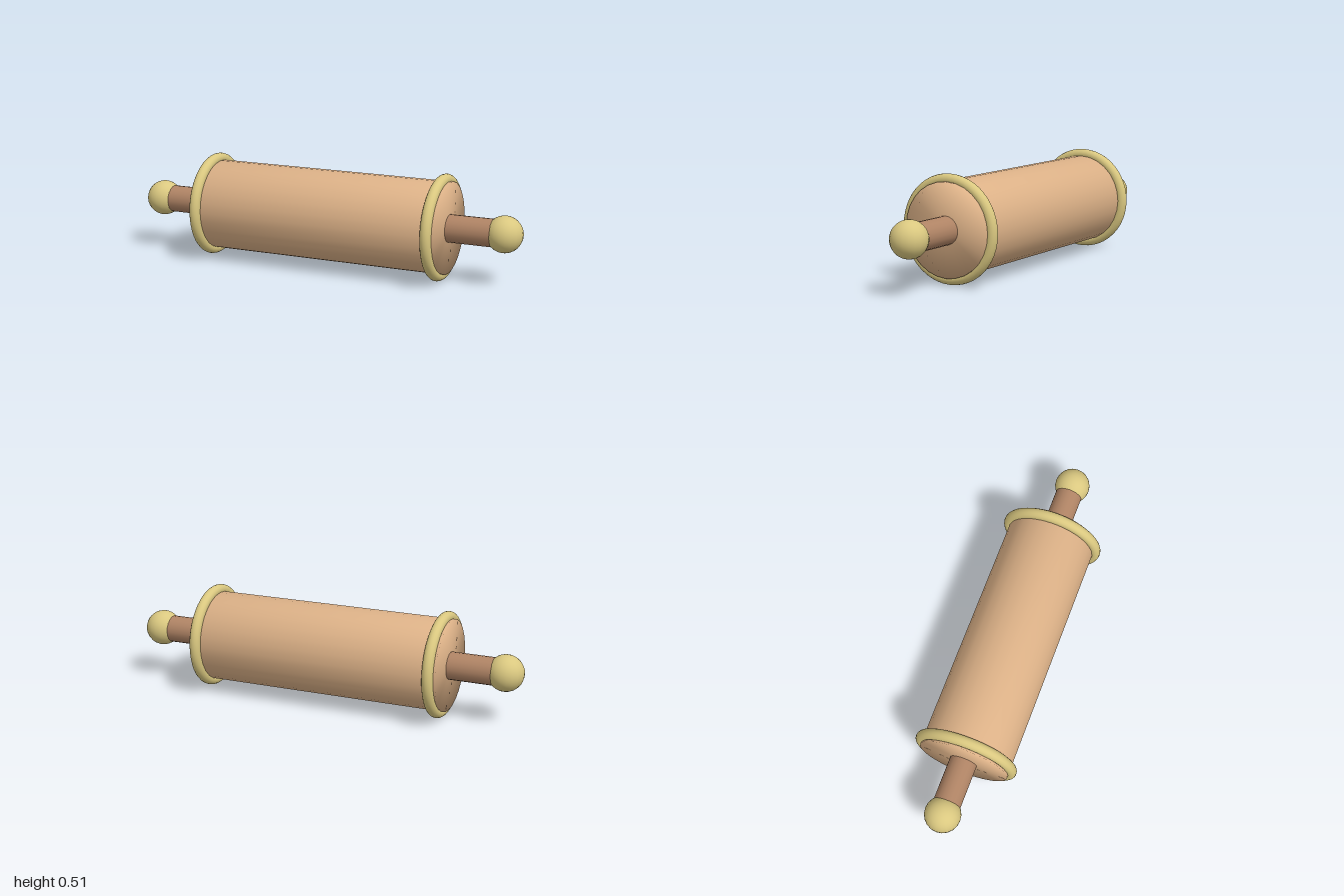
import * as THREE from 'three';

const AXIS_Y = 0.256;

export function createModel() {
  const model = new THREE.Group();
  model.name = 'rollingPin';

  const material = (name, color) => {
    const m = new THREE.MeshStandardMaterial({ color });
    m.name = name;
    return m;
  };
  const wood = material('light wood', 0xdcb187);
  const darkWood = material('brown wood', 0xb08465);
  const trim = material('pale gold', 0xdac880);

  const add = (name, geometry, mat, x) => {
    const mesh = new THREE.Mesh(geometry, mat);
    mesh.name = name;
    mesh.position.set(x, AXIS_Y, 0);
    model.add(mesh);
  };

  // Roller: closed drum with soft-shaded ends, turned onto the x axis
  const profile = [[0, -0.64], [0.222, -0.64], [0.222, 0.64], [0, 0.64]]
    .map(([r, y]) => new THREE.Vector2(r, y));
  add('roller', new THREE.LatheGeometry(profile, 28).rotateZ(-Math.PI / 2), wood, 0);

  // Ring, handle and knob at each end
  for (const [side, s] of [['left', 1], ['right', -1]]) {
    const ring = new THREE.TorusGeometry(0.229, 0.027, 16, 48).rotateY(Math.PI / 2);
    add(side + 'Ring', ring, trim, s * 0.605);

    const handle = new THREE.CylinderGeometry(0.067, 0.067, 0.26, 20).rotateZ(Math.PI / 2);
    add(side + 'Handle', handle, darkWood, s * 0.76);

    const knob = new THREE.SphereGeometry(0.088, 20, 16);
    add(side + 'Knob', knob, trim, s * 0.912);
  }
  return model;
}
